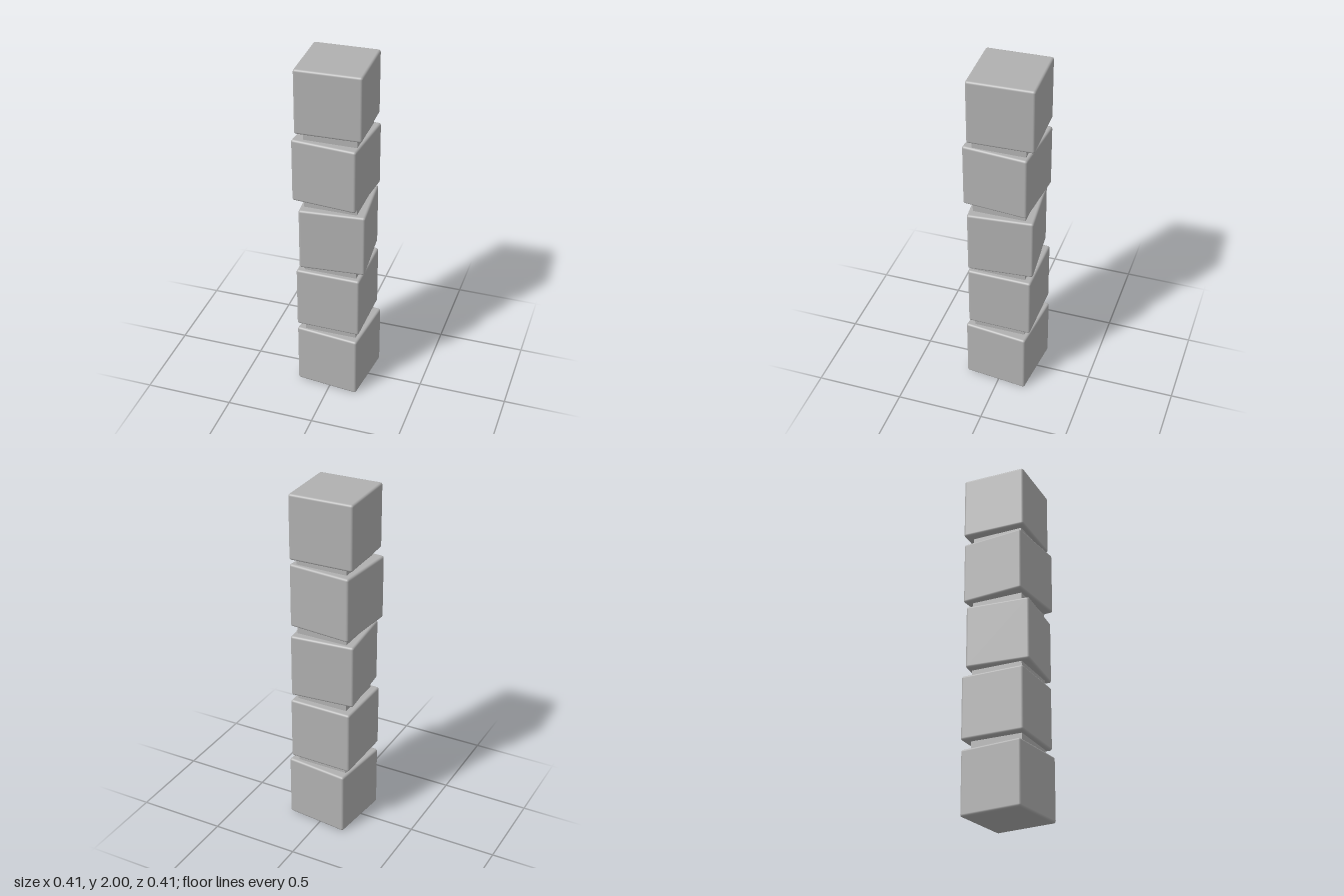
import * as THREE from 'three';
import { RoundedBoxGeometry } from 'three/addons/geometries/RoundedBoxGeometry.js';

const SIZE = 0.367;          // edge of one block
const PITCH = (2 - SIZE) / 4; // spacing from block to block
const GAP = PITCH - SIZE;

// x offset, z offset and twist of each block, bottom to top
const BLOCKS = [
  [0.003, -0.002, -0.105],
  [-0.008, -0.005, -0.012],
  [0.001, 0.003, 0.092],
  [-0.012, 0.006, -0.085],
  [-0.011, -0.007, 0.031],
];

export function createModel() {
  const group = new THREE.Group();
  const stone = new THREE.MeshStandardMaterial({ color: 0xb0b0b0 });
  stone.name = 'stone grey';

  const blockGeometry = new RoundedBoxGeometry(SIZE, SIZE, SIZE, 3, 0.013);
  const spacerGeometry = new THREE.BoxGeometry(0.297, GAP, 0.297);

  BLOCKS.forEach(([x, z, twist], i) => {
    // softly bevelled, slightly twisted block
    const block = new THREE.Mesh(blockGeometry, stone);
    block.name = `block${i + 1}`;
    block.position.set(x, SIZE / 2 + i * PITCH, z);
    block.rotation.y = twist;
    group.add(block);

    // narrower spacer between this block and the next
    if (i < BLOCKS.length - 1) {
      const spacer = new THREE.Mesh(spacerGeometry, stone);
      spacer.name = `spacer${i + 1}`;
      spacer.position.set(0, SIZE + GAP / 2 + i * PITCH, 0.002);
      group.add(spacer);
    }
  });

  return group;
}
